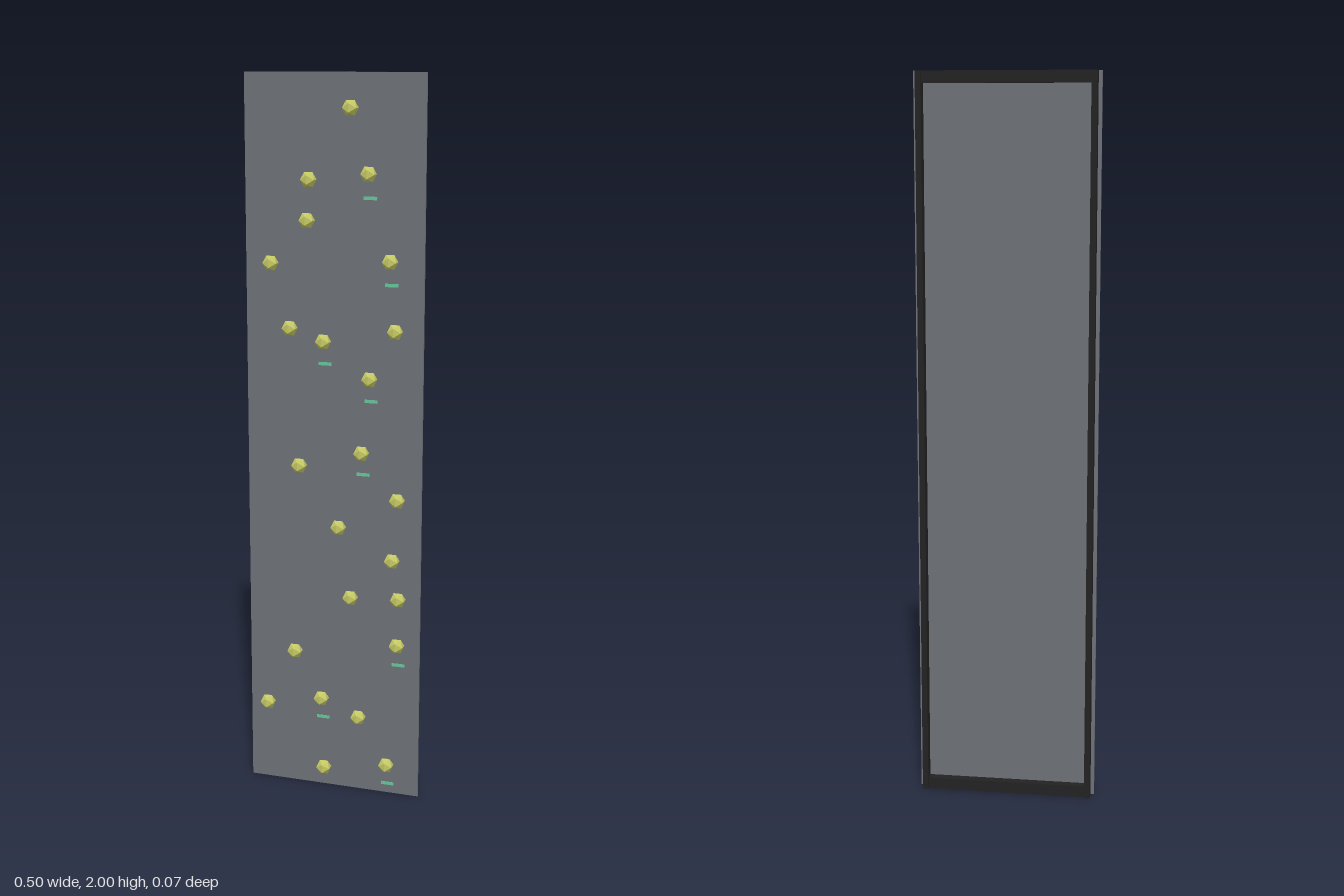
import * as THREE from 'three';

const mat = (name, color, extra = {}) => {
  const m = new THREE.MeshStandardMaterial({ color, ...extra });
  m.name = name;
  return m;
};

export function createModel() {
  const root = new THREE.Group();
  root.name = 'climbingBoard';
  const panelGrey = mat('panelGrey', 0x6c7076);
  const frameBlack = mat('frameBlack', 0x222222);
  const holdYellow = mat('holdYellow', 0xc4c864, { flatShading: true });
  const lightGreen = mat('lightGreen', 0x66c49a);

  const add = (name, geometry, material, x, y, z) => {
    const mesh = new THREE.Mesh(geometry, material);
    mesh.name = name;
    mesh.position.set(x, y, z);
    root.add(mesh);
    return mesh;
  };

  // Thin upright panel
  add('panel', new THREE.BoxGeometry(0.498, 2, 0.006), panelGrey, 0, 1, -0.003);

  // Rear frame: two deep uprights joined by shallower top and bottom bars
  const upright = new THREE.BoxGeometry(0.016, 2, 0.031);
  const crossbar = new THREE.BoxGeometry(0.446, 0.032, 0.025);
  for (const s of [-1, 1]) {
    add(s > 0 ? 'leftUpright' : 'rightUpright', upright, frameBlack, s * 0.231, 1, -0.0215);
    add(s > 0 ? 'topBar' : 'bottomBar', crossbar, frameBlack, 0, 1 + s * 0.984, -0.0185);
  }

  // Climbing holds: x, y, and whether a marker light sits below
  const holds = [
    [0.05, 1.91], [0.1, 1.742, 1], [-0.065, 1.725], [-0.07, 1.618],
    [-0.173, 1.502], [0.16, 1.516, 1], [-0.12, 1.328], [-0.025, 1.296, 1],
    [0.175, 1.332], [0.105, 1.2, 1], [0.083, 0.995, 1], [-0.095, 0.948],
    [0.185, 0.87], [0.018, 0.78], [0.172, 0.698], [0.053, 0.58],
    [0.19, 0.588], [0.188, 0.453, 1], [-0.11, 0.405], [-0.193, 0.24],
    [-0.032, 0.27, 1], [0.077, 0.226], [-0.025, 0.06], [0.16, 0.091, 1],
  ];
  const holdShape = new THREE.IcosahedronGeometry(0.0228, 0).scale(1, 1, 0.93);
  const lightShape = new THREE.BoxGeometry(0.037, 0.009, 0.002);
  for (const [x, y, lit] of holds) {
    add('hold', holdShape, holdYellow, x, y, 0.018);
    if (lit) add('markerLight', lightShape, lightGreen, x, y - 0.063, 0.0002);
  }
  return root;
}
